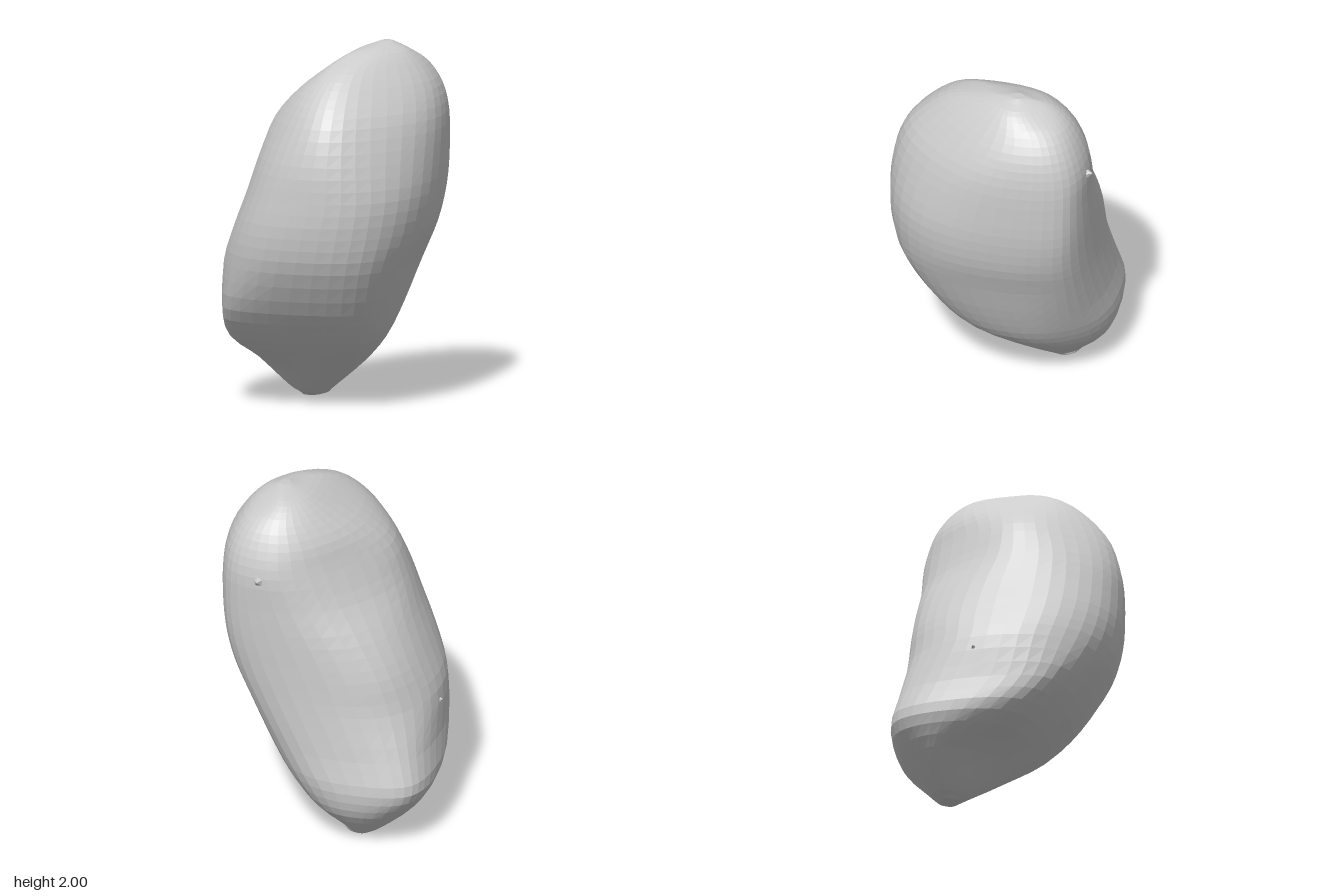
import * as THREE from 'three';

// Horizontal sections: height, then the outward reach of the section in eight directions.
// y, left, frontLeft, front, frontRight, right, backRight, back, backLeft
const SECTIONS = [
  [0.00, -0.145, -0.296, -0.26, 0.012, 0.245, 0.396, 0.36, 0.088],
  [0.015, -0.10, -0.265, -0.22, 0.03, 0.27, 0.42, 0.38, 0.12],
  [0.05, -0.06, -0.21, -0.16, 0.08, 0.33, 0.47, 0.42, 0.14],
  [0.20, 0.12, 0.02, 0.02, 0.235, 0.50, 0.63, 0.555, 0.30],
  [0.36, 0.27, 0.245, 0.22, 0.475, 0.60, 0.74, 0.60, 0.40],
  [0.55, 0.37, 0.40, 0.40, 0.58, 0.585, 0.69, 0.575, 0.48],
  [0.80, 0.47, 0.535, 0.55, 0.59, 0.57, 0.60, 0.555, 0.575],
  [1.00, 0.55, 0.595, 0.60, 0.565, 0.50, 0.545, 0.55, 0.645],
  [1.20, 0.59, 0.615, 0.605, 0.51, 0.42, 0.455, 0.55, 0.69],
  [1.40, 0.60, 0.585, 0.59, 0.445, 0.35, 0.34, 0.55, 0.705],
  [1.60, 0.595, 0.525, 0.53, 0.35, 0.275, 0.26, 0.55, 0.70],
  [1.75, 0.56, 0.44, 0.42, 0.25, 0.15, 0.21, 0.51, 0.66],
  [1.87, 0.49, 0.35, 0.28, 0.115, 0.00, 0.13, 0.44, 0.575],
  [1.95, 0.41, 0.27, 0.10, -0.05, -0.12, 0.04, 0.34, 0.45],
  [1.985, 0.34, 0.20, -0.03, -0.22, -0.21, -0.055, 0.25, 0.38],
  [2.00, 0.31, 0.158, -0.12, -0.284, -0.25, -0.098, 0.18, 0.344],
];
const C = 0.79, S = 0.62;
const DIRECTIONS = [[1, 0], [C, S], [0, 1], [-C, S], [-1, 0], [-C, -S], [0, -1], [C, -S]];
const RINGS = 45, PER_CORNER = 5, SEGMENTS = 8 * PER_CORNER;

// Rounded outline touching the eight side lines of a section
function outline(reach) {
  const corners = DIRECTIONS.map(([ax, az], i) => {
    const j = (i + 1) % 8, [bx, bz] = DIRECTIONS[j];
    const det = ax * bz - az * bx;
    return new THREE.Vector2((reach[i] * bz - reach[j] * az) / det, (ax * reach[j] - bx * reach[i]) / det);
  });
  const points = [];
  corners.forEach((corner, i) => {
    const start = corners[(i + 7) % 8].clone().lerp(corner, 0.5);
    const end = corner.clone().lerp(corners[(i + 1) % 8], 0.5);
    const arc = new THREE.QuadraticBezierCurve(start, corner, end);
    for (let k = 0; k < PER_CORNER; k++) points.push(arc.getPoint(k / PER_CORNER));
  });
  return points;
}

// Closed skin lofted through the sections
function bodyGeometry() {
  const rails = DIRECTIONS.map((_, d) =>
    new THREE.SplineCurve(SECTIONS.map((s) => new THREE.Vector2(s[d + 1], s[0]))));
  const positions = [], index = [], caps = [];
  for (let r = 0; r <= RINGS; r++) {
    const samples = rails.map((rail) => rail.getPoint(r / RINGS));
    const ring = outline(samples.map((p) => p.x));
    const y = THREE.MathUtils.clamp(samples[0].y, 0, 2);
    ring.forEach((p) => positions.push(p.x, y, p.y));
    if (r === 0 || r === RINGS) {
      const mid = ring.reduce((sum, p) => sum.add(p), new THREE.Vector2()).divideScalar(SEGMENTS);
      caps.push([mid.x, y, mid.y]);
    }
  }
  for (let r = 0; r < RINGS; r++) {
    for (let k = 0; k < SEGMENTS; k++) {
      const a = r * SEGMENTS + k, b = r * SEGMENTS + (k + 1) % SEGMENTS;
      index.push(a, a + SEGMENTS, b, b, a + SEGMENTS, b + SEGMENTS);
    }
  }
  // Small flat ends at the bottom and the top
  const bottom = positions.length / 3, top = bottom + 1, last = RINGS * SEGMENTS;
  positions.push(...caps[0], ...caps[1]);
  for (let k = 0; k < SEGMENTS; k++) {
    const n = (k + 1) % SEGMENTS;
    index.push(bottom, k, n, top, last + n, last + k);
  }
  const geometry = new THREE.BufferGeometry();
  geometry.setAttribute('position', new THREE.Float32BufferAttribute(positions, 3));
  geometry.setIndex(index);
  geometry.computeVertexNormals();
  return geometry;
}

export function createModel() {
  const model = new THREE.Group();
  model.name = 'stone';
  const material = new THREE.MeshStandardMaterial({ color: 0xcccccc, flatShading: true });

  const body = new THREE.Mesh(bodyGeometry(), material);
  body.name = 'stoneBody';
  model.add(body);

  // Small pointed nubs on the surface
  const addNub = (name, tip, outward) => {
    const nub = new THREE.Mesh(new THREE.ConeGeometry(0.07, 0.09, 5), material);
    const direction = new THREE.Vector3(...outward).normalize();
    nub.name = name;
    nub.quaternion.setFromUnitVectors(new THREE.Vector3(0, 1, 0), direction);
    nub.position.set(...tip).addScaledVector(direction, -0.045);
    model.add(nub);
  };
  addNub('backNub', [0.33, 1.59, -0.58], [0.1, 0.2, -1]);
  addNub('sideNub', [-0.59, 0.74, -0.08], [-1, 0.2, 0]);
  return model;
}
